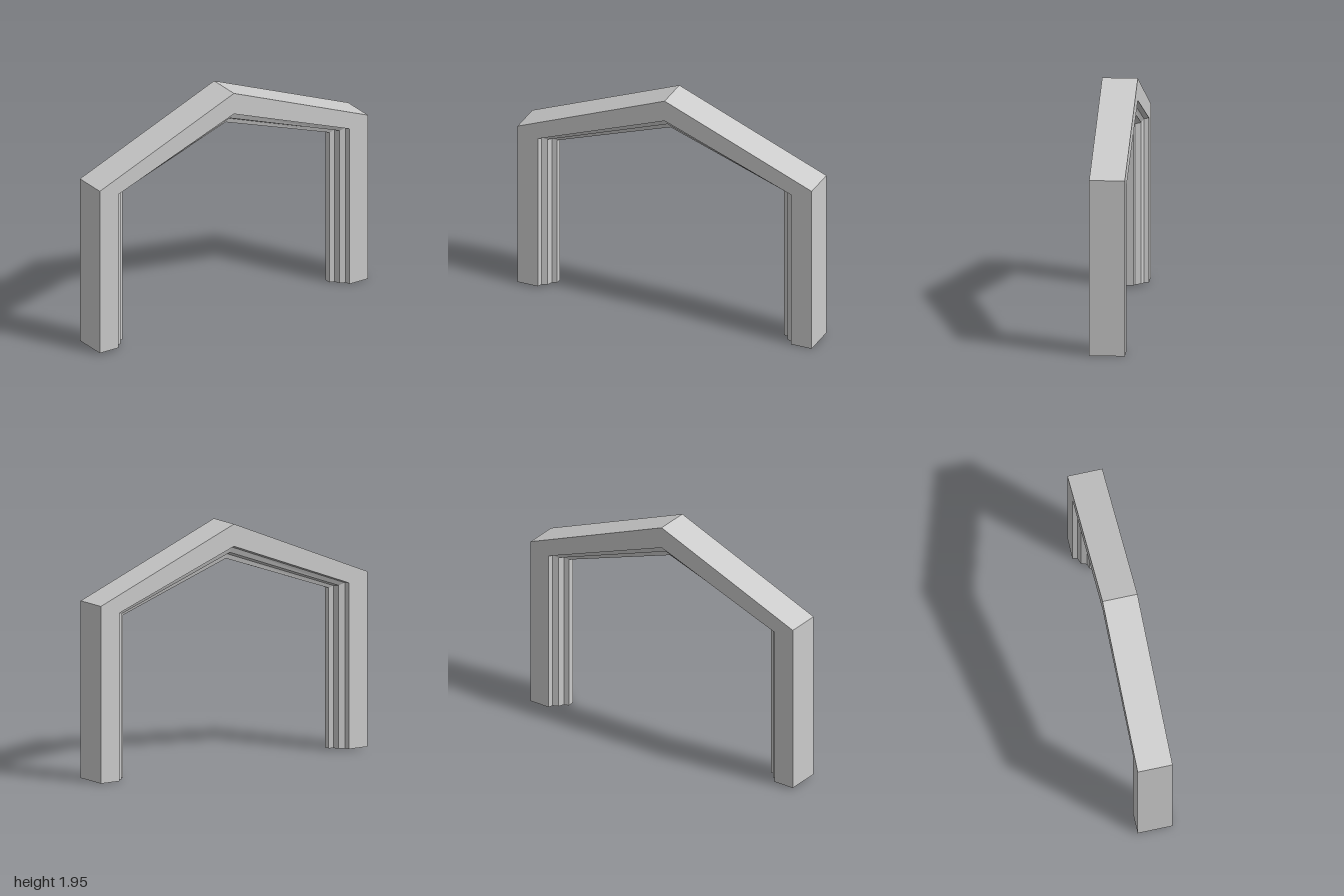
import * as THREE from 'three';

const HALF_SPAN = 1.273, HALF_DEPTH = 0.141;

// Moulded cross-section: [inset from the outer face, depth], stepped towards the opening
const frontHalf = [[0, HALF_DEPTH], [0.177, HALF_DEPTH], [0.188, 0.102], [0.234, 0.084], [0.252, 0.038], [0.291, 0.027]];
const profile = [...frontHalf, ...frontHalf.map(([w, d]) => [w, -d]).reverse()];

// Stations along the frame: each places a profile point in the frame's own plane
const foot = (side, y) => ([w, d]) => new THREE.Vector3(side * (HALF_SPAN - w), y, d);
const eave = side => ([w, d]) => new THREE.Vector3(side * (HALF_SPAN - w), 1.424 - 0.41 * w, d);
const apex = ([w, d]) => new THREE.Vector3(0, 1.945 - 1.01 * w, d);

// Skin between two stations, with an optional cap at either end
function makeSegment(name, from, to, material, capStart = false, capEnd = false) {
  const a = profile.map(from), b = profile.map(to);
  const points = [];
  const centreA = from([0.1, 0]), centreB = to([0.1, 0]);
  for (let i = 0; i < profile.length; i++) {
    const j = (i + 1) % profile.length;
    points.push(a[j], a[i], b[i], a[j], b[i], b[j]);
    if (capStart) points.push(centreA, a[i], a[j]);
    if (capEnd) points.push(centreB, b[j], b[i]);
  }
  const geometry = new THREE.BufferGeometry().setFromPoints(points);
  geometry.computeVertexNormals();
  const mesh = new THREE.Mesh(geometry, material);
  mesh.name = name;
  return mesh;
}

export function createModel() {
  const material = new THREE.MeshStandardMaterial({ color: 0xcccccc, flatShading: true });
  const group = new THREE.Group();
  group.name = 'gabledFrame';

  // Two posts and two sloping beams meeting at the ridge
  const frame = new THREE.Group();
  frame.name = 'frame';
  frame.add(
    makeSegment('leftPost', foot(1, 0), eave(1), material, true, false),
    makeSegment('leftBeam', eave(1), apex, material),
    makeSegment('rightBeam', apex, eave(-1), material),
    makeSegment('rightPost', eave(-1), foot(-1, 0.015), material, false, true),
  );

  // The frame stands diagonally
  frame.rotation.y = Math.PI / 4;
  group.add(frame);
  return group;
}
